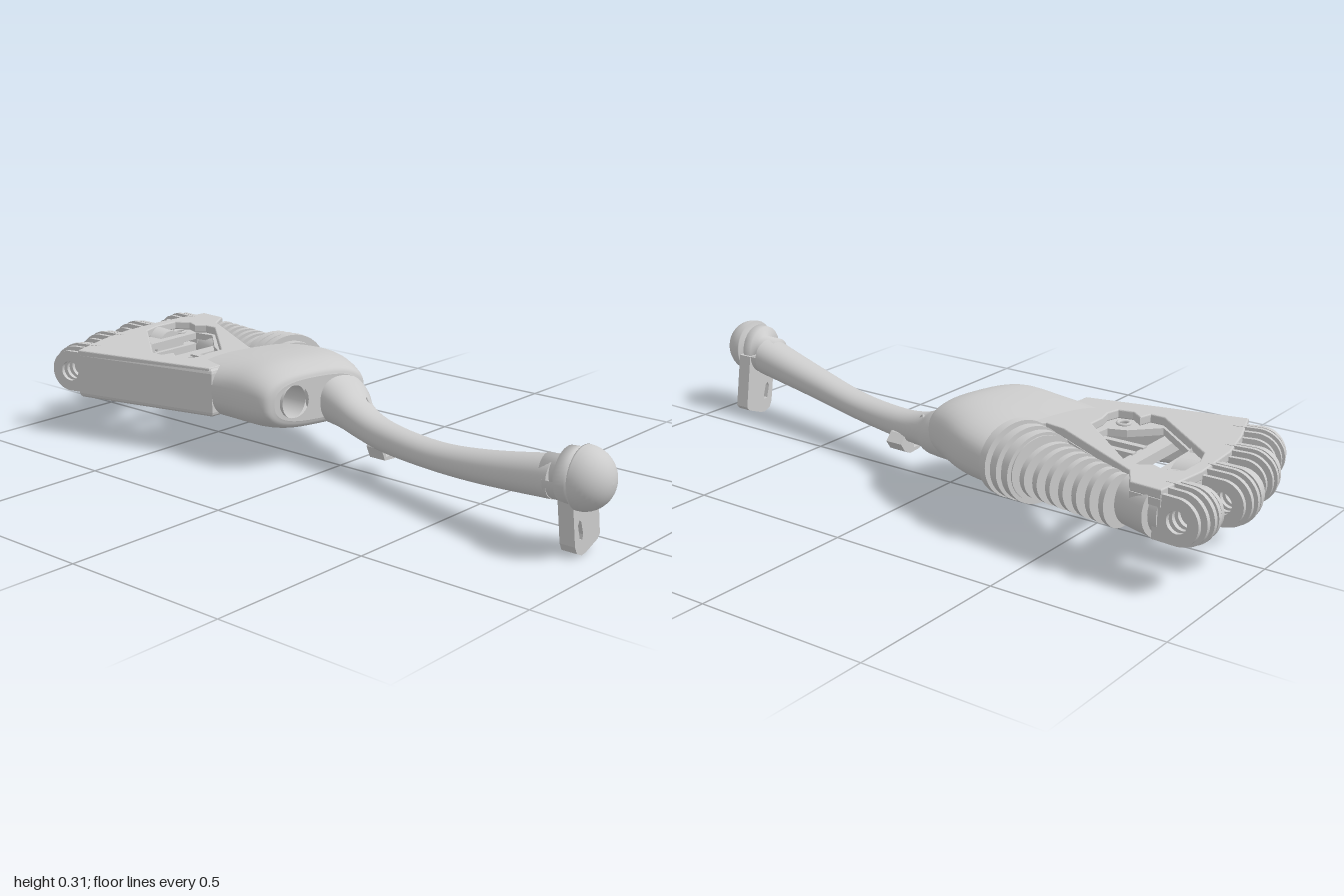
import * as THREE from 'three';

const mat = new THREE.MeshStandardMaterial({ color: 0xcccccc, side: THREE.DoubleSide });

export function createModel() {
  const root = new THREE.Group();
  const add = (name, geo, parent = root) => {
    const m = new THREE.Mesh(geo, mat);
    m.name = name;
    parent.add(m);
    return m;
  };
  const toShape = (pts, Kind = THREE.Shape) => new Kind(pts.map(p => new THREE.Vector2(p[0], p[1])));
  const disc = (x, y, r, Kind = THREE.Path) => new Kind().absarc(x, y, r, 0, Math.PI * 2);

  // Extrude an outline drawn in x,z downwards from height top
  const plan = (name, pts, top, depth, holes = [], bevel = 0) => {
    const s = toShape(pts);
    s.holes = holes;
    const g = new THREE.ExtrudeGeometry(s, {
      depth: depth - 2 * bevel, bevelEnabled: bevel > 0, bevelSize: bevel, bevelThickness: bevel,
      bevelOffset: -bevel, bevelSegments: 3, curveSegments: 16,
    });
    g.rotateX(Math.PI / 2).translate(0, top - bevel, 0);
    return add(name, g);
  };

  // Outline of a station [z, left, right, bottom, top] as a superellipse
  const N = 48;
  const section = ([, x0, x1, y0, y1], n) => Array.from({ length: N }, (_, i) => {
    const a = i / N * Math.PI * 2, c = Math.cos(a), s = Math.sin(a);
    return [(x0 + x1) / 2 + (x1 - x0) / 2 * Math.sign(c) * Math.abs(c) ** (2 / n),
      (y0 + y1) / 2 + (y1 - y0) / 2 * Math.sign(s) * Math.abs(s) ** (2 / n)];
  });
  // Smooth skin through stations that run towards -z; skew slants them across x
  const loft = (stations, n, skew = 0, steps = 5) => {
    const lanes = [0, 1, 2, 3, 4].map(k => stations.map(s => s[k]));
    const rows = (stations.length - 1) * steps, pos = [], idx = [];
    const smooth = (v, t) => {
      const i = Math.min(Math.floor(t), v.length - 2), f = t - i;
      const a = v[i], b = v[i + 1], p = v[i - 1] ?? a, q = v[i + 2] ?? b;
      const m = (b - p) / 2, k = (q - a) / 2;
      return a + m * f + (3 * (b - a) - 2 * m - k) * f * f + (2 * (a - b) + m + k) * f ** 3;
    };
    for (let r = 0; r <= rows; r++) {
      const st = lanes.map(v => smooth(v, r / steps));
      for (const [x, y] of section(st, n)) pos.push(x, y, st[0] + skew * x);
    }
    for (let r = 0; r < rows; r++) for (let i = 0; i < N; i++) {
      const a = r * N + i, b = r * N + (i + 1) % N;
      idx.push(a, a + N, b, b, a + N, b + N);
    }
    const g = new THREE.BufferGeometry();
    g.setAttribute('position', new THREE.Float32BufferAttribute(pos, 3));
    g.setIndex(idx);
    g.computeVertexNormals();
    return g;
  };
  const cap = (name, st, n, skew = 0, holes = []) => {
    const s = toShape(section(st, n));
    s.holes = holes;
    const g = new THREE.ShapeGeometry(s, 24), p = g.attributes.position;
    for (let i = 0; i < p.count; i++) p.setZ(i, st[0] + skew * p.getX(i));
    g.computeVertexNormals();
    return add(name, g);
  };

  // Curved forearm bar, flaring into the wrist
  const arm = [
    [0.84, -0.21, -0.08, 0.135, 0.25], [0.6, -0.165, -0.06, 0.11, 0.2],
    [0.4, -0.12, -0.025, 0.095, 0.172], [0.2, -0.075, 0.02, 0.09, 0.175],
    [0.08, -0.05, 0.065, 0.1, 0.2], [0, -0.035, 0.125, 0.105, 0.24],
    [-0.12, -0.02, 0.16, 0.11, 0.295],
  ];
  add('forearm', loft(arm, 2.2));
  cap('forearmEnd', arm[0], 2.2);

  // Wrist shell with a round bore in its slanted front
  const wrist = [
    [-0.045, -0.18, 0.11, 0.14, 0.265], [-0.06, -0.205, 0.135, 0.12, 0.285],
    [-0.13, -0.208, 0.17, 0.105, 0.305], [-0.24, -0.2, 0.22, 0.1, 0.303],
    [-0.37, -0.205, 0.255, 0.105, 0.288],
  ];
  add('wrist', loft(wrist, 2.7, 0.25));
  cap('wristFront', wrist[0], 2.7, 0.25, [disc(-0.115, 0.203, 0.048)]);
  add('wristBore', new THREE.CylinderGeometry(0.048, 0.048, 0.2, 28, 1, true)
    .rotateX(Math.PI / 2).translate(-0.115, 0.203, -0.175));

  // Back of the hand with an eared window over a narrower ledge
  const palm = [[-0.31, -0.78], [-0.17, -0.83], [-0.05, -0.86], [0.12, -0.87], [0.29, -0.85],
    [0.285, -0.76], [0.22, -0.72], [0.06, -0.42], [0.05, -0.36], [0.1, -0.31], [-0.2, -0.33]];
  const window = toShape([[-0.18, -0.59], [0.0, -0.81], [0.06, -0.83], [0.1, -0.83], [0.14, -0.83],
    [0.165, -0.79], [0.15, -0.75], [0.17, -0.72], [0.17, -0.68], [-0.02, -0.46], [-0.08, -0.46],
    [-0.12, -0.45], [-0.16, -0.46], [-0.17, -0.5], [-0.14, -0.54], [-0.18, -0.55]], THREE.Path);
  const ledge = toShape([[-0.165, -0.6], [-0.05, -0.74], [0.15, -0.745], [0.16, -0.68], [0.06, -0.57],
    [0.03, -0.52], [0.0, -0.475], [-0.07, -0.48], [-0.09, -0.53]], THREE.Path);
  const screws = [[0.12, -0.79], [-0.13, -0.495]];
  plan('palmBack', palm, 0.274, 0.026, [window], 0.004);
  plan('palmLedge', palm, 0.248, 0.02, [ledge, ...screws.map(p => disc(p[0], p[1], 0.013))]);
  for (const [x, z] of screws)
    add('screwCollar', new THREE.TorusGeometry(0.017, 0.005, 8, 24).rotateX(Math.PI / 2).translate(x, 0.25, z));
  // Outer side wall
  plan('palmSideWall', [[-0.31, -0.78], [-0.2, -0.32], [-0.155, -0.32], [-0.26, -0.8]], 0.272, 0.147, [], 0.015);

  // Bars inside the palm
  const bar = (name, w, h, d, x, y, z) => add(name, new THREE.BoxGeometry(w, h, d).translate(x, y, z));
  bar('crossBar', 0.36, 0.03, 0.045, -0.01, 0.21, -0.625);
  for (const x of [-0.05, 0.005]) bar('guideBar', 0.02, 0.04, 0.16, x, 0.21, -0.53);
  bar('knuckleBar', 0.42, 0.03, 0.04, 0, 0.195, -0.775);

  // Knuckles: round stub and five spaced fins
  const knuckles = [[-0.25, -0.84, 0.24], [-0.1, -0.895, 0.12], [0.06, -0.925, 0], [0.232, -0.9, -0.07]];
  const radii = [0.062, 0.071, 0.075, 0.071, 0.062];
  for (const [x, z, turn] of knuckles) {
    const k = new THREE.Group();
    k.name = 'knuckle';
    k.position.set(x, 0.2, z);
    k.rotation.y = turn;
    root.add(k);
    add('knuckleStub', new THREE.CylinderGeometry(0.072, 0.066, 0.1, 32).rotateX(-Math.PI / 2)
      .scale(0.88, 1, 1).translate(0, 0, 0.105), k);
    radii.forEach((r, i) => {
      const s = new THREE.Shape();
      s.moveTo(-0.07, -r).lineTo(0, -r);
      s.absarc(0, 0, r, -Math.PI / 2, Math.PI / 2);
      s.lineTo(-0.07, r);
      s.holes.push(disc(0, 0, 0.03));
      const g = new THREE.ExtrudeGeometry(s, { depth: 0.012, bevelEnabled: false, curveSegments: 20 });
      add('knuckleFin', g.rotateY(Math.PI / 2).translate((i - 2) * 0.026 - 0.006, 0, 0), k);
    });
  }

  // Ribbed thumb-side tube: large rings at the base, then tapering slats
  const lean = -0.31;
  const rib = (name, x, z, rx, ry, t) => {
    const m = add(name, new THREE.CylinderGeometry(1, 1, t, 40).rotateX(Math.PI / 2).scale(rx, ry, 1));
    m.position.set(x, 0.2, z);
    m.rotation.y = lean;
  };
  for (let i = 0; i < 3; i++)
    rib('baseRing', 0.155 + i * 0.012, -0.34 - i * 0.04, 0.118 - i * 0.004, 0.108 - i * 0.005, 0.026);
  rib('baseCore', 0.16, -0.37, 0.1, 0.09, 0.14);
  for (let i = 0; i < 7; i++) {
    const f = i / 6;
    rib('slat', 0.185 + 0.065 * f, -0.47 - 0.24 * f, 0.1 - 0.042 * f, 0.078 - 0.006 * f, 0.018);
  }
  const core = add('tubeCore', new THREE.CylinderGeometry(0.05, 0.055, 0.46, 28).rotateX(-Math.PI / 2));
  core.position.set(0.155, 0.195, -0.58);
  core.rotation.y = lean;
  rib('tubeEnd', 0.232, -0.78, 0.062, 0.072, 0.1);

  // Domed end with neck, collar and cupped lip
  const endX = -0.157;
  const lathe = [[0, 0.81], [0.04, 0.81], [0.04, 0.87], [0.068, 0.87], [0.07, 0.9], [0.055, 0.903],
    [0.055, 0.912], [0.079, 0.914]].map(p => new THREE.Vector2(p[0], p[1]));
  for (let i = 0; i <= 12; i++) {
    const a = i / 12 * Math.PI / 2;
    lathe.push(new THREE.Vector2(0.079 * Math.cos(a), 0.918 + 0.082 * Math.sin(a)));
  }
  add('endDome', new THREE.LatheGeometry(lathe, 40).rotateX(Math.PI / 2).scale(0.98, 1.06, 1).translate(endX, 0.21, 0));
  add('endLip', new THREE.CylinderGeometry(0.064, 0.064, 0.06, 28, 1, false, -Math.PI / 2, Math.PI)
    .rotateX(Math.PI / 2).translate(-0.148, 0.2, 0.86));

  // Slotted tab hanging from the end
  const tab = toShape([[-0.19, 0.15], [-0.172, 0.03], [-0.162, 0.01], [-0.14, 0], [-0.12, 0.003],
    [-0.068, 0.023], [-0.058, 0.035], [-0.082, 0.2], [-0.18, 0.2]]);
  tab.holes.push(toShape([[-0.163, 0.085], [-0.157, 0.097], [-0.148, 0.09], [-0.137, 0.055],
    [-0.14, 0.042], [-0.152, 0.046]], THREE.Path));
  add('endTab', new THREE.ExtrudeGeometry(tab, { depth: 0.045, bevelEnabled: false }).translate(0, 0, 0.865));

  // Small notched lug under the forearm
  const lug = toShape([[-0.05, 0.1], [-0.035, 0.065], [0.01, 0.062], [0.035, 0.075], [0.052, 0.1],
    [0.03, 0.125], [-0.04, 0.125]]);
  lug.holes.push(toShape([[-0.03, 0.075], [-0.008, 0.075], [-0.008, 0.09], [-0.03, 0.09]], THREE.Path));
  add('forearmLug', new THREE.ExtrudeGeometry(lug, { depth: 0.055, bevelEnabled: false }).translate(0, 0, 0.14));

  // Oval port rim on the forearm
  const port = add('forearmPort', new THREE.TorusGeometry(0.02, 0.004, 8, 24).scale(0.8, 1, 1));
  port.position.set(0.047, 0.185, 0.07);
  port.rotation.set(-0.5, 0.8, 0);
  return root;
}
